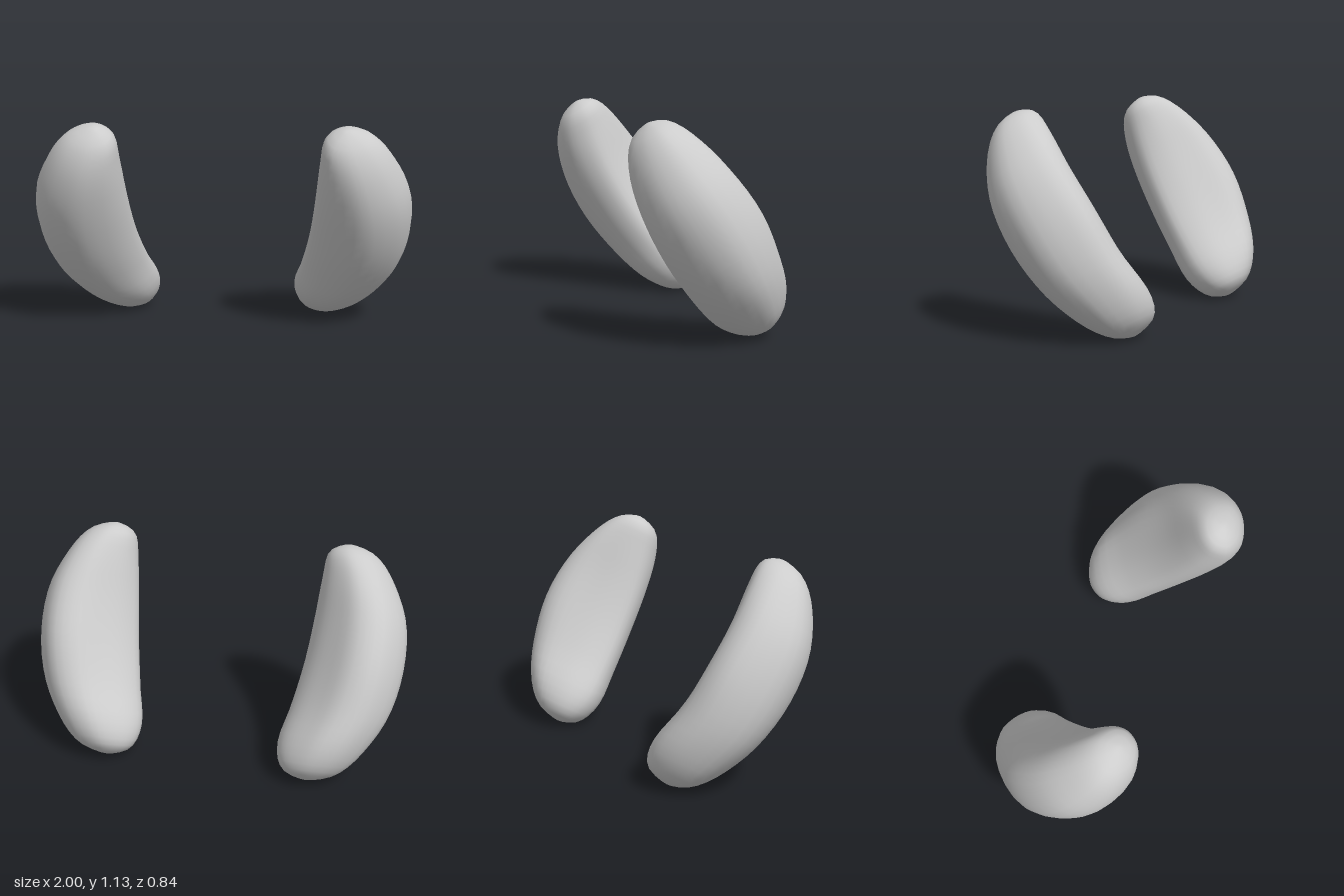
import * as THREE from 'three';
import { mergeVertices } from 'three/addons/utils/BufferGeometryUtils.js';

const HALF_LENGTH = 0.634, MID_Y = 0.562, LEAN = Math.PI / 6;
const RINGS = 28, SIDES = 32;

const rail = pairs => new THREE.SplineCurve(pairs.map(p => new THREE.Vector2(...p)));
const loop = pts => new THREE.CatmullRomCurve3(pts.map(p => new THREE.Vector3(p[0], p[1], 0)), true, 'catmullrom', 0.5);

// Inner and outer x limits, from the lower back tip to the upper front tip
const xLimits = rail([[0.55, 0.55], [0.42, 0.71], [0.38, 0.84], [0.425, 0.95], [0.468, 0.998],
  [0.495, 0.985], [0.515, 0.9], [0.54, 0.79], [0.645, 0.645]]);
// Upper back and lower front limits across the leaning axis
const wLimits = rail([[0, 0], [-0.137, 0.105], [-0.212, 0.196], [-0.23, 0.25], [-0.24, 0.28],
  [-0.214, 0.27], [-0.168, 0.218], [-0.1, 0.125], [0, 0]]);

// Cross-section: full outside, flattened on the inner upper back side
const flattened = loop([[-1, 0.3], [-0.84, -0.14], [-0.46, -0.56], [0.05, -0.95],
  [0.6, -0.86], [1, -0.1], [0.74, 0.62], [0.05, 1], [-0.64, 0.77]]);
// Rounder cross-section for the tips
const round = loop([[-1, 0.1], [-0.86, -0.5], [-0.42, -0.9], [0.08, -1],
  [0.66, -0.72], [1, -0.05], [0.7, 0.65], [-0.05, 1], [-0.74, 0.76]]);

function lobeGeometry(side) {
  const pos = [], index = [];
  for (let i = 0; i <= RINGS; i++) {
    const t = i / RINGS;
    const s = -HALF_LENGTH * Math.cos(Math.PI * t);
    const xl = xLimits.getPoint(t), wl = wLimits.getPoint(t);
    const tipBlend = Math.min(1, Math.pow(Math.abs(s) / HALF_LENGTH, 2) * 1.1);
    for (let j = 0; j < SIDES; j++) {
      const p = flattened.getPoint(j / SIDES).lerp(round.getPoint(j / SIDES), tipBlend);
      const x = (xl.x + xl.y) / 2 + p.x * (xl.y - xl.x) / 2;
      const w = (wl.x + wl.y) / 2 + p.y * (wl.y - wl.x) / 2;
      pos.push(side * x,
        MID_Y + s * Math.cos(LEAN) - w * Math.sin(LEAN),
        s * Math.sin(LEAN) + w * Math.cos(LEAN));
      if (i === RINGS) continue;
      const k = (j + 1) % SIDES;
      const a = i * SIDES + j, b = a + SIDES, c = i * SIDES + k, d = c + SIDES;
      if (side > 0) index.push(a, b, c, c, b, d);
      else index.push(a, c, b, c, d, b);
    }
  }
  let geo = new THREE.BufferGeometry();
  geo.setAttribute('position', new THREE.Float32BufferAttribute(pos, 3));
  geo.setIndex(index);
  geo = mergeVertices(geo, 1e-4);
  geo.computeVertexNormals();
  return geo;
}

export function createModel() {
  const group = new THREE.Group();
  const paleGrey = new THREE.MeshStandardMaterial({ color: 0xcccccc });
  paleGrey.name = 'paleGrey';
  // Mirrored pair of curved lobes
  for (const [name, side] of [['leftLobe', 1], ['rightLobe', -1]]) {
    const lobe = new THREE.Mesh(lobeGeometry(side), paleGrey);
    lobe.name = name;
    group.add(lobe);
  }
  return group;
}
